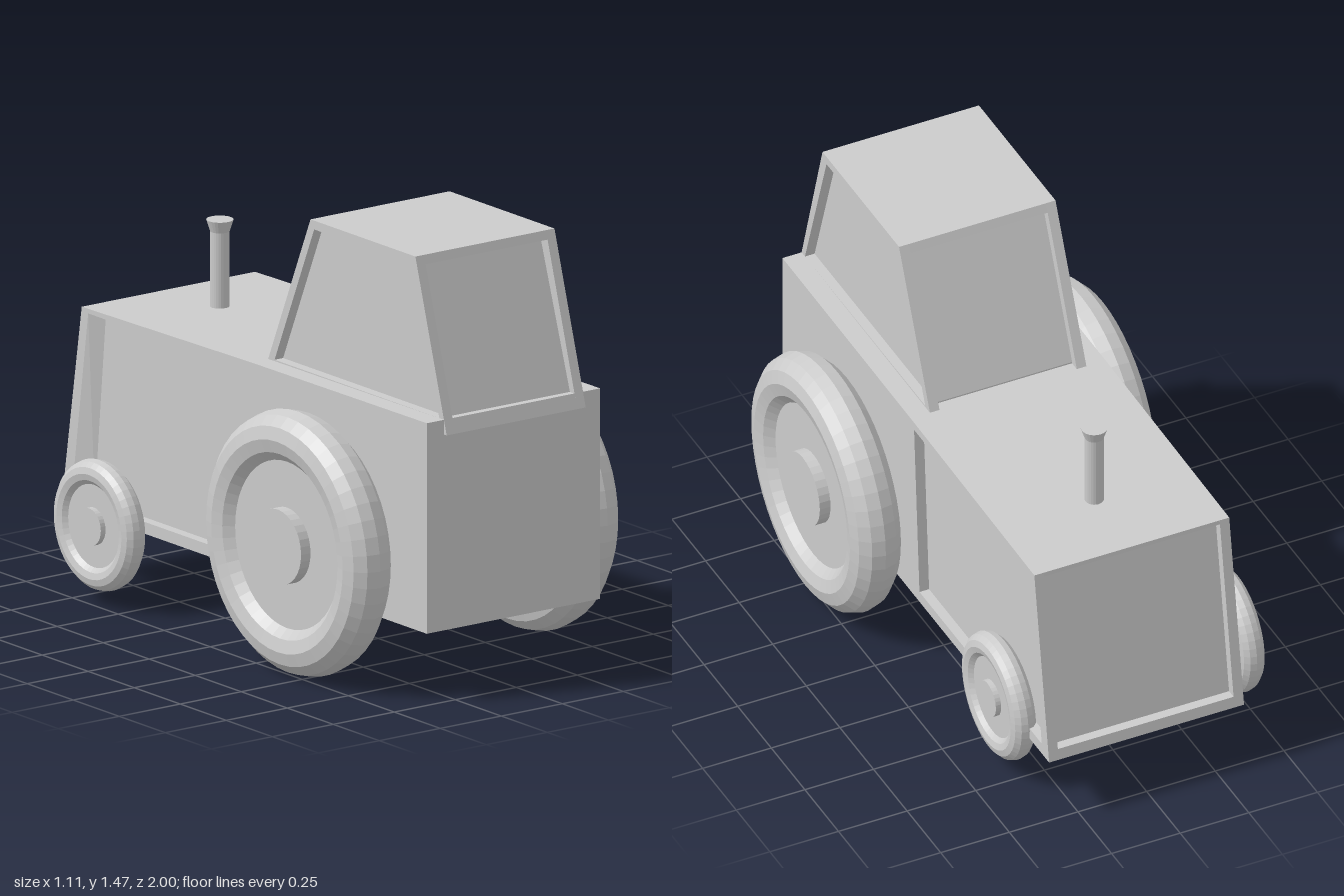
import * as THREE from 'three';

const material = new THREE.MeshStandardMaterial({ color: 0xcccccc, flatShading: true });
const thin = new THREE.MeshStandardMaterial({ color: 0xcccccc, flatShading: true, side: THREE.DoubleSide });

function add(parent, name, geometry, mat = material) {
  const mesh = new THREE.Mesh(geometry, mat);
  mesh.name = name;
  parent.add(mesh);
  return mesh;
}

const points = (list) => list.map(([z, y]) => new THREE.Vector2(z, y));

// Side profile given as [z, y], extruded across x from x0 to x1
function prism(profile, x0, x1, hole) {
  const shape = new THREE.Shape(points(profile));
  if (hole) shape.holes.push(new THREE.Path(points(hole)));
  return new THREE.ExtrudeGeometry(shape, { depth: x1 - x0, bevelEnabled: false })
    .rotateY(-Math.PI / 2).translate(x1, 0, 0);
}

// A core with recessed ends, between two side frames with an opening each
function panelledBox(name, outer, hole, core, inner, half) {
  const group = new THREE.Group();
  group.name = name;
  add(group, name + 'Core', prism(core, -inner, inner));
  add(group, name + 'LeftFrame', prism(outer, inner, half, hole));
  add(group, name + 'RightFrame', prism(outer, -half, -inner, hole));
  return group;
}

// Fat tyre around a disc with a round hub; its axle runs along x
function wheel(name, scale, x, y, z) {
  const group = new THREE.Group();
  group.name = name;
  add(group, 'tyre', new THREE.TorusGeometry(0.357, 0.088, 12, 48).rotateY(Math.PI / 2));
  add(group, 'rim', new THREE.CylinderGeometry(0.3, 0.3, 0.092, 48).rotateZ(Math.PI / 2));
  add(group, 'hub', new THREE.CylinderGeometry(0.127, 0.127, 0.17, 32).rotateZ(Math.PI / 2));
  group.scale.setScalar(scale);
  group.position.set(x, y, z);
  return group;
}

export function createModel() {
  const model = new THREE.Group();
  model.name = 'tractor';

  // Long body with recessed engine sides and grille
  const body = panelledBox('body',
    [[0.985, 0.24], [0.985, 0.955], [0.03, 0.95], [-0.89, 0.935], [-1, 0.24]],
    [[0.005, 0.92], [-0.035, 0.28], [-0.945, 0.28], [-0.855, 0.92]],
    [[0.985, 0.24], [0.985, 0.955], [0.03, 0.95], [-0.89, 0.935], [-0.892, 0.92],
      [-0.86, 0.92], [-0.96, 0.28], [-0.994, 0.28], [-1, 0.24]],
    0.32, 0.355);
  model.add(body);

  // Sloping cheek at the grille end of each engine recess
  for (const side of [1, -1]) {
    const a = [side * 0.355, 0.92, -0.855], b = [side * 0.355, 0.28, -0.945];
    const c = [side * 0.32, 0.28, -0.865], d = [side * 0.32, 0.92, -0.805];
    const corners = side > 0 ? [a, b, c, a, c, d] : [a, c, b, a, d, c];
    const cheek = new THREE.BufferGeometry();
    cheek.setAttribute('position', new THREE.Float32BufferAttribute(corners.flat(), 3));
    cheek.computeVertexNormals();
    add(body, side > 0 ? 'leftCheek' : 'rightCheek', cheek, thin);
  }

  // Tapered cab with recessed windows all round
  model.add(panelledBox('cab',
    [[1, 0.905], [0.83, 1.475], [0.26, 1.475], [0.03, 0.95], [0.03, 0.905]],
    [[0.96, 0.955], [0.8, 1.445], [0.28, 1.445], [0.065, 0.955]],
    [[1, 0.905], [0.985, 0.955], [0.96, 0.955], [0.8, 1.445], [0.839, 1.445], [0.83, 1.475],
      [0.26, 1.475], [0.247, 1.445], [0.28, 1.445], [0.065, 0.955], [0.065, 0.905]],
    0.25, 0.285));

  // Exhaust pipe with flared mouth
  const pipe = [[0, 0.92], [0.032, 0.92], [0.032, 1.195], [0.045, 1.235], [0, 1.235]];
  add(model, 'exhaust', new THREE.LatheGeometry(points(pipe), 24)).position.z = -0.61;

  // Wheels; the small pair sits offset to one side
  model.add(
    wheel('leftBigWheel', 1, 0.464, 0.447, 0.437),
    wheel('rightBigWheel', 1, -0.468, 0.447, 0.437),
    wheel('leftSmallWheel', 0.495, 0.36, 0.27, -0.637),
    wheel('rightSmallWheel', 0.495, -0.473, 0.27, -0.637));

  return model;
}
